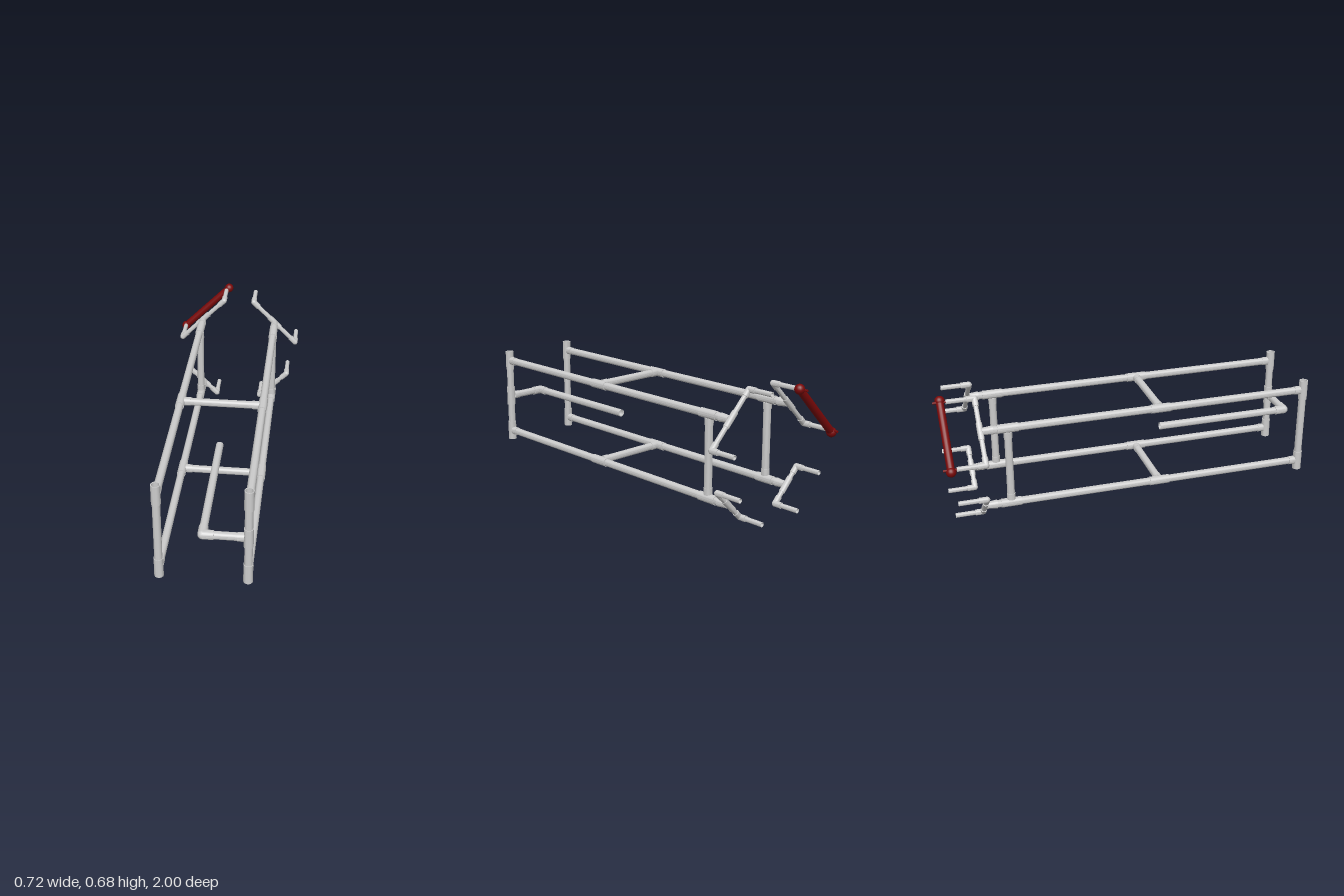
import * as THREE from 'three';
import { toCreasedNormals } from 'three/addons/utils/BufferGeometryUtils.js';

const grey = new THREE.MeshStandardMaterial({ color: 0xcccccc });
const red = new THREE.MeshStandardMaterial({ color: 0x7a0808 });
const V = (x, y, z) => new THREE.Vector3(x, y, z);
const X = V(1, 0, 0), Y = V(0, 1, 0), Z = V(0, 0, 1), BACK = V(0, 0, -1);

const PIPE = 0.02, FIT = 0.0235, HALF = 0.0535; // main pipe, fitting radius, half tee length
const THIN = 0.0125, THINFIT = 0.016;           // handle pipe and fittings

export function createModel() {
  const model = new THREE.Group();
  model.name = 'pipeFrame';

  function add(parent, name, geometry, material = grey) {
    const mesh = new THREE.Mesh(geometry, material);
    mesh.name = name;
    parent.add(mesh);
    return mesh;
  }

  // Hollow tube from a to b, radius r0 at a and r1 at b
  function tube(parent, name, a, b, r0, r1 = r0) {
    const len = a.distanceTo(b), k = 0.8;
    const profile = [[r0 * k, 0], [r0, 0], [r1, len], [r1 * k, len], [r0 * k, 0]]
      .map(([r, y]) => new THREE.Vector2(r, y));
    const geo = toCreasedNormals(new THREE.LatheGeometry(profile, 16), 0.6);
    const mesh = add(parent, name, geo);
    mesh.position.copy(a);
    mesh.quaternion.setFromUnitVectors(Y, b.clone().sub(a).normalize());
    return mesh;
  }

  const along = (p, dir, d) => p.clone().addScaledVector(dir, d);

  // T fitting: sleeve along "run", socket along "branch"
  function tee(parent, p, run, branch, r = FIT, half = HALF) {
    const g = new THREE.Group();
    g.name = 'teeFitting';
    parent.add(g);
    tube(g, 'teeSleeve', along(p, run, -half), along(p, run, half), r);
    tube(g, 'teeSocket', along(p, branch, r * 0.85), along(p, branch, half), r * 0.96);
  }

  // Right-angle fitting: rounded corner with two sockets
  function elbow(parent, p, d1, d2, r, len) {
    const g = new THREE.Group();
    g.name = 'elbowFitting';
    parent.add(g);
    add(g, 'elbowCorner', new THREE.SphereGeometry(r, 14, 10)).position.copy(p);
    for (const d of [d1, d2]) tube(g, 'elbowSocket', p, along(p, d, len), r);
  }

  const xs = [-0.209, 0.22], ys = [0.099, 0.527];
  const zFront = 0.976, zMid = 0.16, zBack = -0.65, zHandle = -0.788;

  // Side frames: front post, two rails, rear upright
  for (const x of xs) {
    const inward = V(-Math.sign(x), 0, 0);
    const side = new THREE.Group();
    side.name = x < 0 ? 'rightSideFrame' : 'leftSideFrame';
    model.add(side);
    tube(side, 'frontPost', V(x, ys[0], zFront), V(x, ys[1], zFront), PIPE);
    tube(side, 'rearUpright', V(x, ys[0] + 0.018, zBack), V(x, ys[1] - 0.018, zBack), PIPE);
    for (const y of ys) {
      tube(side, 'rail', V(x, y, zFront - 0.02), V(x, y, -0.745), PIPE);
      tee(side, V(x, y, zFront), Y, BACK);
      tee(side, V(x, y, zMid), Z, inward);
      tee(side, V(x, y, zBack), Z, V(0, y < 0.3 ? 1 : -1, 0));
      // reducer into the handle fitting
      tube(side, 'reducer', V(x, y, -0.725), V(x, y, zHandle + 0.008), FIT, 0.018);
    }
  }

  // Cross bars joining the sides
  for (const y of ys)
    tube(model, 'crossBar', V(xs[0] + 0.018, y, zMid), V(xs[1] - 0.018, y, zMid), PIPE);

  // Arm on the left front post, turning backwards
  const arm = new THREE.Group();
  arm.name = 'frontArm';
  model.add(arm);
  const corner = V(0.003, 0.312, zFront);
  tee(arm, V(xs[1], 0.312, zFront), Y, V(-1, 0, 0));
  tube(arm, 'armBar', V(xs[1] - 0.02, 0.312, zFront), corner, PIPE);
  elbow(arm, corner, X, BACK, FIT, HALF);
  tube(arm, 'armPipe', corner, V(0.003, 0.312, 0.23), PIPE);

  // Diagonal two-pronged brackets on the rail ends
  for (const x of xs) for (const y of ys) {
    const upper = y > 0.3, s = Math.sign(x);
    const reach = (upper ? 0.126 : 0.081) * Math.SQRT2;
    const dir = V(upper ? s : -s, -1, 0).normalize();
    const c = V(x, y, zHandle);
    const g = new THREE.Group();
    g.name = 'prongBracket';
    model.add(g);
    tee(g, c, dir, Z, THINFIT, 0.045);
    tube(g, 'diagonalBar', along(c, dir, -reach), along(c, dir, reach), THIN);
    for (const e of [-1, 1]) {
      const p = along(c, dir, e * reach);
      elbow(g, p, dir.clone().multiplyScalar(-e), BACK, THINFIT, 0.042);
      tube(g, 'prong', p, along(p, BACK, 0.145), THIN);
    }
  }

  // Red band stretched over the upper right prongs
  const band = new THREE.Group();
  band.name = 'redBand';
  model.add(band);
  const mid = V(-0.2035, 0.5235, -0.961), d = V(1, 1, 0).normalize(), h = 0.133 * Math.SQRT2;
  const bar = add(band, 'bandBar', new THREE.CylinderGeometry(0.02, 0.02, 2 * h, 16), red);
  bar.position.copy(mid);
  bar.quaternion.setFromUnitVectors(Y, d);
  for (const e of [-1, 1]) {
    add(band, 'bandEnd', new THREE.SphereGeometry(0.026, 16, 12), red).position.copy(along(mid, d, e * h));
    const pin = add(band, 'bandPin', new THREE.CylinderGeometry(0.006, 0.006, 0.07, 10), red);
    pin.position.set(xs[0] + e * 0.126, ys[1] + e * 0.126, -0.965);
    pin.rotation.x = Math.PI / 2;
  }
  return model;
}
